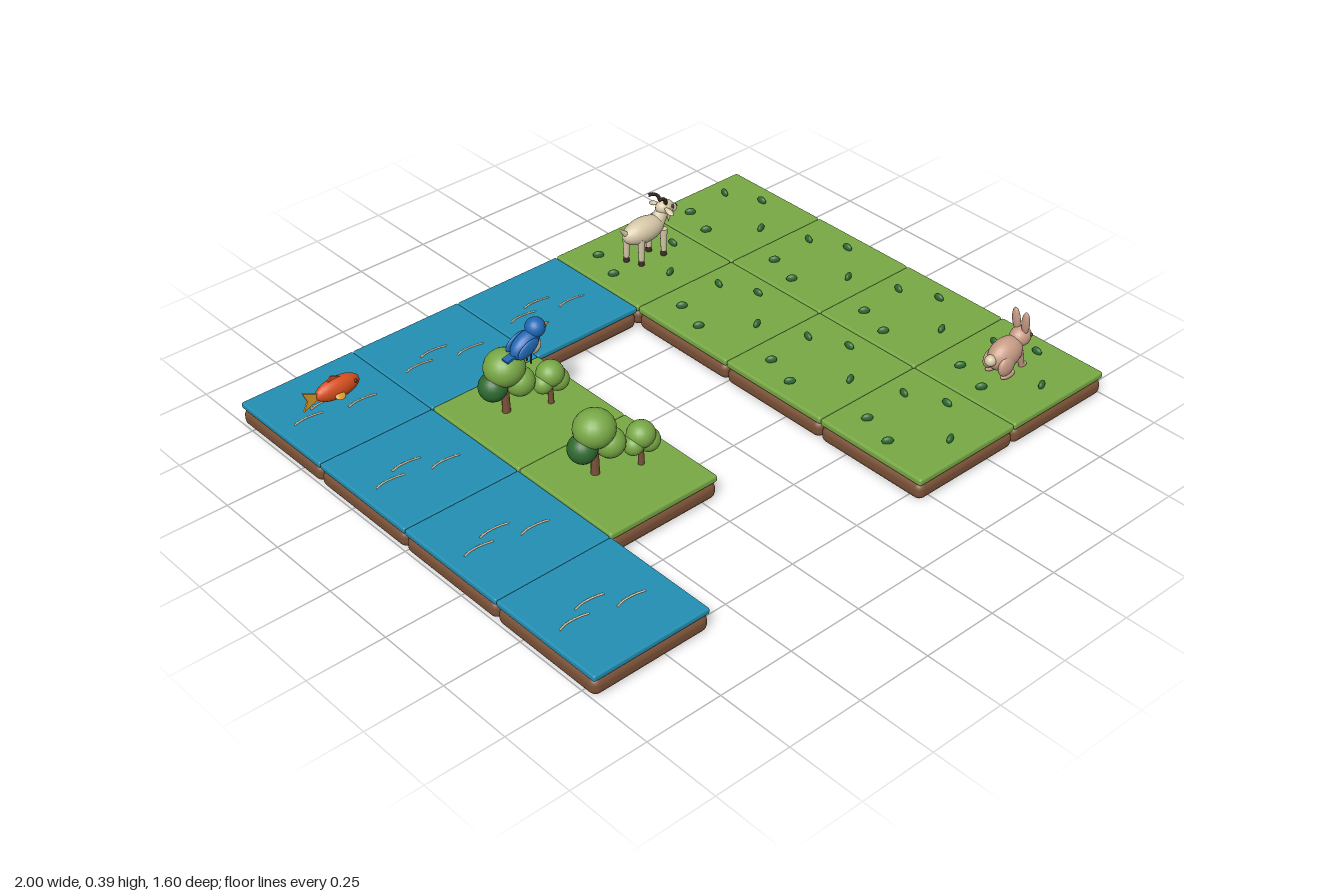
import * as THREE from 'three';
import { RoundedBoxGeometry } from 'three/addons/geometries/RoundedBoxGeometry.js';

const mat = (name, color, side = THREE.FrontSide) => {
  const m = new THREE.MeshStandardMaterial({ color, side });
  m.name = name;
  return m;
};

export function createModel() {
  const earth = mat('earth brown', 0x7a5137);
  const water = mat('water blue', 0x238fb3);
  const grass = mat('grass green', 0x78a845);
  const leaf = mat('dark leaf green', 0x2f6a30);
  const cream = mat('cream', 0xd6c8a8);
  const pink = mat('dusty pink', 0xc89c86);
  const orange = mat('fish orange', 0xd9501f);
  const blue = mat('bird blue', 0x1f68b4);
  const yellow = mat('fin yellow', 0xdc9a2c, THREE.DoubleSide);
  const dark = mat('dark brown', 0x3a2c24);

  const model = new THREE.Group();
  model.name = 'animalTiles';

  const group = (name, x, z, parent = model) => {
    const g = new THREE.Group();
    g.name = name;
    g.position.set(x, 0, z);
    parent.add(g);
    return g;
  };
  const add = (parent, name, geo, m, p = [0, 0, 0], r = [0, 0, 0]) => {
    const mesh = new THREE.Mesh(geo, m);
    mesh.name = name;
    mesh.position.set(...p);
    mesh.rotation.set(...r);
    parent.add(mesh);
    return mesh;
  };
  const sphere = new THREE.SphereGeometry(1, 20, 14);
  const ball = (parent, name, m, p, s, r) => {
    const mesh = add(parent, name, sphere, m, p, r);
    mesh.scale.set(...(Array.isArray(s) ? s : [s, s, s]));
    return mesh;
  };
  // Tapered rod from a to b
  const rod = (parent, name, m, a, b, ra, rb = ra) => {
    const A = new THREE.Vector3(...a), B = new THREE.Vector3(...b);
    const d = B.clone().sub(A);
    const mesh = add(parent, name, new THREE.CylinderGeometry(rb, ra, d.length(), 10), m);
    mesh.position.copy(A).add(B).multiplyScalar(0.5);
    mesh.quaternion.setFromUnitVectors(new THREE.Vector3(0, 1, 0), d.normalize());
    return mesh;
  };
  const tube = (parent, name, m, pts, r) => add(parent, name, new THREE.TubeGeometry(
    new THREE.CatmullRomCurve3(pts.map(p => new THREE.Vector3(...p))), 12, r, 6), m);
  const fin = (parent, name, m, pts, p, r) => add(parent, name, new THREE.ExtrudeGeometry(
    new THREE.Shape(pts.map(q => new THREE.Vector2(...q))), { depth: 0.006, bevelEnabled: false }), m, p, r);

  // Tiles
  const baseGeo = new RoundedBoxGeometry(0.4, 0.058, 0.4, 4, 0.024);
  const landGeo = new RoundedBoxGeometry(0.398, 0.024, 0.398, 2, 0.008);
  const waterGeo = new RoundedBoxGeometry(0.398, 0.02, 0.398, 2, 0.006);

  const tile = (name, x, z, geo, m, top) => {
    const g = group(name, x, z);
    add(g, 'earthBase', baseGeo, earth, [0, 0.032, 0]);
    add(g, 'tileTop', geo, m, [0, top, 0]);
    return g;
  };
  const waterTile = (x, z) => {
    const g = tile('waterTile', x, z, waterGeo, water, 0.07);
    for (const [rx, rz] of [[-0.02, -0.034], [0.07, 0.03], [-0.1, 0]])
      tube(g, 'ripple', cream, [[rx - 0.05, 0.081, rz + 0.004], [rx - 0.02, 0.081, rz - 0.004],
        [rx + 0.02, 0.081, rz - 0.003], [rx + 0.05, 0.081, rz + 0.004]], 0.003);
  };
  const grassTile = (x, z) => {
    const g = tile('grassTile', x, z, landGeo, grass, 0.071);
    const tufts = [[-0.1, -0.105, -0.6], [0.07, -0.12, 1.3], [0.127, 0, 1.57],
      [0.003, 0.125, 0.35], [-0.137, 0.012, -0.6]];
    for (const [tx, tz, a] of tufts)
      ball(g, 'grassTuft', leaf, [tx, 0.09, tz], [0.018, 0.013, 0.009], [0, a, 0]);
  };
  const forestTile = (x, z) => {
    const g = tile('forestTile', x, z, landGeo, grass, 0.071);
    const big = group('bigTree', -0.05, -0.04, g);
    rod(big, 'trunk', earth, [0, 0.08, 0], [0, 0.2, 0], 0.014, 0.01);
    ball(big, 'crown', grass, [0, 0.238, 0], [0.064, 0.058, 0.062]);
    ball(big, 'darkFoliage', leaf, [-0.04, 0.185, -0.005], 0.045);
    ball(big, 'sideFoliage', grass, [0.035, 0.187, 0.025], 0.046);
    const small = group('smallTree', 0.075, 0.013, g);
    rod(small, 'trunk', earth, [0, 0.08, 0], [0, 0.16, 0], 0.01, 0.008);
    ball(small, 'crown', grass, [0, 0.186, 0], [0.044, 0.041, 0.042]);
    ball(small, 'lowFoliage', grass, [-0.028, 0.163, 0], 0.032);
    ball(small, 'lowFoliage', grass, [0.024, 0.158, 0.004], 0.036);
  };
  for (const z of [-0.6, -0.2, 0.2, 0.6]) {
    waterTile(-0.8, z);
    grassTile(0.4, z);
    grassTile(0.8, z);
  }
  waterTile(-0.4, -0.6);
  waterTile(0, -0.6);
  forestTile(-0.4, -0.2);
  forestTile(-0.4, 0.2);

  // Fish
  const fish = group('fish', -0.79, -0.6);
  ball(fish, 'body', orange, [0, 0.14, 0], [0.077, 0.036, 0.028]);
  fin(fish, 'tailFin', yellow, [[0.02, 0], [-0.05, 0.032], [-0.036, 0], [-0.05, -0.032]], [-0.07, 0.14, -0.003]);
  fin(fish, 'backFin', orange, [[-0.035, 0], [-0.02, 0.02], [0.03, 0]], [0, 0.168, -0.003]);
  for (const s of [-1, 1]) {
    ball(fish, 'sideFin', yellow, [-0.01, 0.13, s * 0.03], [0.017, 0.005, 0.014], [s * 0.6, 0, 0]);
    ball(fish, 'eye', dark, [0.053, 0.148, s * 0.018], 0.006);
  }

  // Bird
  const bird = group('bird', -0.4, -0.2);
  ball(bird, 'body', blue, [-0.002, 0.318, 0], [0.056, 0.034, 0.03], [0, 0, 0.5]);
  ball(bird, 'belly', cream, [0.022, 0.307, 0], [0.029, 0.031, 0.026]);
  ball(bird, 'head', blue, [0.037, 0.358, 0], 0.031);
  rod(bird, 'beak', yellow, [0.062, 0.356, 0], [0.088, 0.353, 0], 0.008, 0.001);
  add(bird, 'tail', new THREE.BoxGeometry(0.055, 0.008, 0.026), blue, [-0.05, 0.297, 0], [0, 0, 0.25]);
  for (const s of [-1, 1]) {
    ball(bird, 'wing', blue, [-0.012, 0.318, s * 0.028], [0.042, 0.022, 0.008], [0, 0, 0.45]);
    ball(bird, 'eye', dark, [0.054, 0.366, s * 0.023], 0.005);
    rod(bird, 'leg', dark, [0.01, 0.285, s * 0.01], [0.01, 0.25, s * 0.01], 0.003);
  }

  // Goat
  const goat = group('goat', 0.4, -0.6);
  ball(goat, 'body', cream, [0, 0.19, 0], [0.082, 0.043, 0.041]);
  rod(goat, 'neck', cream, [0.055, 0.195, 0], [0.088, 0.235, 0], 0.027, 0.02);
  ball(goat, 'head', cream, [0.092, 0.238, 0], [0.034, 0.027, 0.025], [0, 0, -0.25]);
  ball(goat, 'muzzle', cream, [0.12, 0.225, 0], [0.02, 0.016, 0.017]);
  ball(goat, 'nose', dark, [0.137, 0.228, 0], [0.005, 0.006, 0.01]);
  rod(goat, 'beard', cream, [0.112, 0.214, 0], [0.108, 0.178, 0], 0.009, 0.001);
  rod(goat, 'tail', cream, [-0.074, 0.205, 0], [-0.096, 0.228, 0], 0.009, 0.004);
  for (const s of [-1, 1]) {
    for (const [x, name] of [[-0.04, 'hindLeg'], [0.055, 'frontLeg']]) {
      const lx = x + s * 0.01, lz = s * 0.025;
      rod(goat, name, cream, [lx, 0.1, lz], [lx, 0.18, lz], 0.009, 0.013);
      rod(goat, 'hoof', dark, [lx, 0.082, lz], [lx, 0.1, lz], 0.011, 0.009);
    }
    tube(goat, 'horn', dark, [[0.085, 0.257, s * 0.013], [0.078, 0.278, s * 0.018],
      [0.06, 0.289, s * 0.022], [0.042, 0.29, s * 0.024]], 0.006);
    ball(goat, 'ear', cream, [0.078, 0.242, s * 0.038], [0.01, 0.007, 0.02], [s * 0.3, 0, 0]);
    ball(goat, 'eye', dark, [0.106, 0.245, s * 0.021], 0.005);
  }

  // Rabbit
  const rabbit = group('rabbit', 0.8, 0.595);
  ball(rabbit, 'body', pink, [-0.02, 0.148, 0], [0.066, 0.05, 0.042], [0, 0, 0.15]);
  ball(rabbit, 'head', pink, [0.045, 0.18, 0], [0.038, 0.033, 0.031]);
  ball(rabbit, 'muzzle', pink, [0.071, 0.172, 0], [0.016, 0.014, 0.018]);
  ball(rabbit, 'nose', dark, [0.087, 0.176, 0], 0.005);
  ball(rabbit, 'tail', cream, [-0.085, 0.15, 0], 0.018);
  for (const s of [-1, 1]) {
    ball(rabbit, 'ear', pink, [0.042, 0.234, s * 0.018], [0.011, 0.042, 0.014], [s * 0.08, 0, 0.1]);
    ball(rabbit, 'haunch', pink, [-0.045, 0.128, s * 0.03], [0.034, 0.034, 0.015]);
    ball(rabbit, 'hindFoot', pink, [-0.035, 0.092, s * 0.03], [0.03, 0.011, 0.012]);
    rod(rabbit, 'frontLeg', pink, [0.038, 0.088, s * 0.02], [0.025, 0.14, s * 0.02], 0.009, 0.013);
    ball(rabbit, 'frontPaw', pink, [0.043, 0.09, s * 0.02], [0.016, 0.009, 0.01]);
    ball(rabbit, 'eye', dark, [0.064, 0.188, s * 0.025], 0.006);
  }

  return model;
}
